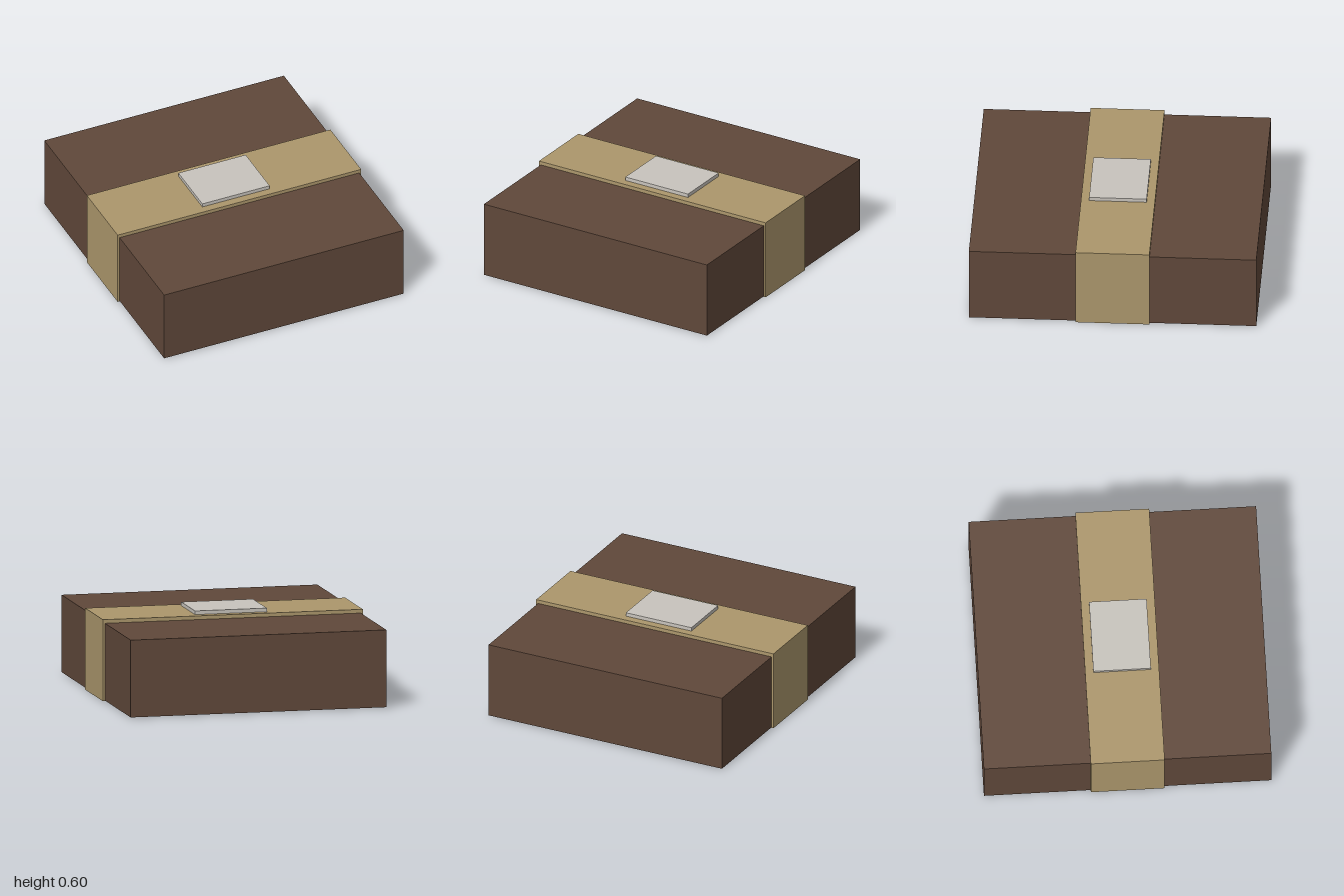
import * as THREE from 'three';

function material(name, color) {
  const m = new THREE.MeshStandardMaterial({ color });
  m.name = name;
  return m;
}

export function createModel() {
  const group = new THREE.Group();
  group.name = 'parcel';

  const brown = material('dark brown', 0x60483a);
  const tan = material('tan', 0xac976c);
  const paleGrey = material('pale grey', 0xc8c4bd);

  // Box spanning y0..y1, centred on x and z
  const addBox = (name, width, y0, y1, depth, mat) => {
    const mesh = new THREE.Mesh(new THREE.BoxGeometry(width, y1 - y0, depth), mat);
    mesh.position.y = (y0 + y1) / 2;
    mesh.name = name;
    group.add(mesh);
  };

  // Parcel body
  addBox('body', 1.83, 0.004, 0.548, 2, brown);
  // Band wrapped around the middle
  addBox('band', 1.86, 0, 0.574, 0.514, tan);
  // Raised label on the band
  addBox('label', 0.514, 0.57, 0.6, 0.4, paleGrey);

  return group;
}
